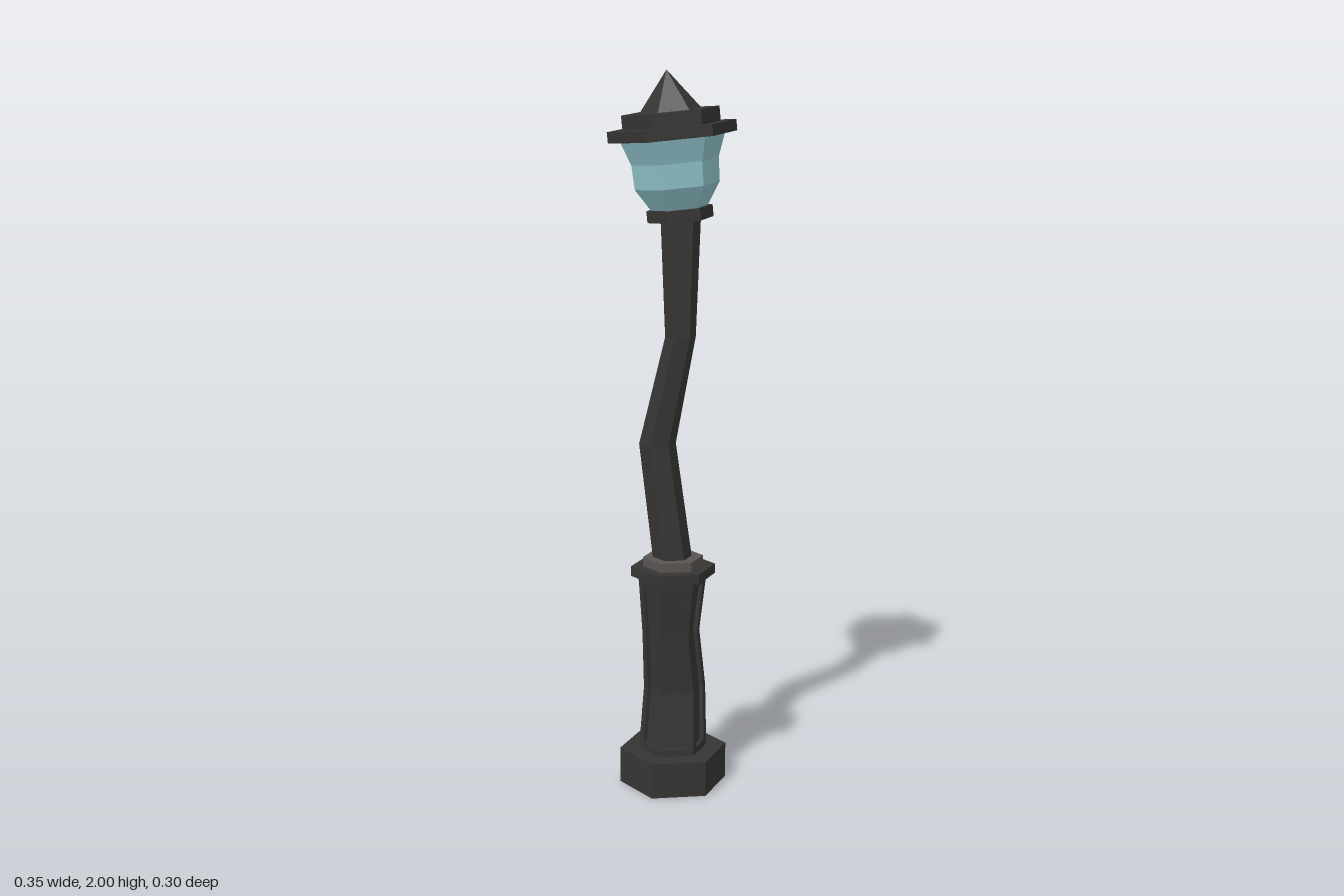
import * as THREE from 'three';

const iron = new THREE.MeshStandardMaterial({ color: 0x363534, flatShading: true });
iron.name = 'dark iron';
const ringMetal = new THREE.MeshStandardMaterial({ color: 0x5a5553, flatShading: true });
ringMetal.name = 'worn ring metal';
const glassMat = new THREE.MeshStandardMaterial({ color: 0x8fc3cb, flatShading: true });
glassMat.name = 'pale blue glass';

function part(name, geometry, material) {
  const geo = geometry.index ? geometry.toNonIndexed() : geometry;
  geo.computeVertexNormals();
  const mesh = new THREE.Mesh(geo, material);
  mesh.name = name;
  return mesh;
}

// Six-sided solid turned from [radius, height] pairs, bottom to top, corners on the x axis
function hexSolid(name, profile, material) {
  const points = profile.map(([r, y]) => new THREE.Vector2(r, y));
  return part(name, new THREE.LatheGeometry(points, 6, Math.PI / 6), material);
}

const hexBlock = (name, r, y0, y1, material) =>
  hexSolid(name, [[0, y0], [r, y0], [r, y1], [0, y1]], material);

// Hexagon cross-section; each side carries a panel sunk by the given depth
function hexRing(cx, y, cz, r, depth) {
  const ring = [];
  const corner = (k) => new THREE.Vector3(
    cx + r * Math.cos(k * Math.PI / 3), y, cz - r * Math.sin(k * Math.PI / 3));
  for (let k = 0; k < 6; k++) {
    const a = corner(k), b = corner(k + 1);
    const mid = (k + 0.5) * Math.PI / 3;
    const inward = new THREE.Vector3(-Math.cos(mid), 0, Math.sin(mid)).multiplyScalar(depth);
    ring.push(a);
    if (depth === null) continue;
    const p = a.clone().lerp(b, 0.2), q = a.clone().lerp(b, 0.8);
    ring.push(p, p.clone().add(inward), q.clone().add(inward), q);
  }
  return ring;
}

// Skin joining successive cross-sections
function loft(rings) {
  const n = rings[0].length, positions = [], index = [];
  rings.forEach((ring) => ring.forEach((p) => positions.push(p.x, p.y, p.z)));
  for (let i = 0; i < rings.length - 1; i++) {
    for (let j = 0; j < n; j++) {
      const a = i * n + j, b = i * n + (j + 1) % n;
      index.push(a, b, b + n, a, b + n, a + n);
    }
  }
  const geo = new THREE.BufferGeometry();
  geo.setAttribute('position', new THREE.Float32BufferAttribute(positions, 3));
  geo.setIndex(index);
  return geo;
}

export function createModel() {
  const lamp = new THREE.Group();
  lamp.name = 'streetLamp';

  // Foot and crooked pedestal with sunken panels
  lamp.add(hexBlock('foot', 0.152, 0, 0.102, iron));
  const sink = 0.012;
  const pedestal = [
    [0, 0.1, 0, 0.097, 0],
    [0, 0.122, 0, 0.096, 0],
    [0, 0.122, 0, 0.096, sink],
    [0.006, 0.28, -0.011, 0.088, sink],
    [-0.006, 0.45, 0, 0.081, sink],
    [-0.002, 0.59, 0, 0.094, sink],
    [-0.002, 0.59, 0, 0.094, 0],
    [-0.002, 0.616, 0, 0.096, 0],
  ];
  lamp.add(part('pedestal', loft(pedestal.map((s) => hexRing(...s))), iron));
  lamp.add(hexBlock('pedestalCap', 0.119, 0.614, 0.641, iron));
  lamp.add(hexBlock('poleRing', 0.085, 0.641, 0.667, ringMetal));

  // Bent pole
  const pole = [
    [0, 0.65, 0, 0.055],
    [-0.042, 0.99, -0.01, 0.051],
    [0.019, 1.29, 0.012, 0.042],
    [0.021, 1.62, 0, 0.055],
  ];
  lamp.add(part('pole', loft(pole.map((s) => hexRing(...s, null))), iron));

  // Leaning lantern head
  const head = new THREE.Group();
  head.name = 'lantern';
  head.position.set(0.019, 1.622, 0);
  head.rotation.z = 0.096;
  head.add(hexBlock('lanternCollar', 0.09, -0.016, 0.016, iron));
  head.add(hexSolid('glass',
    [[0.076, 0.014], [0.115, 0.075], [0.118, 0.14], [0.142, 0.206]], glassMat));
  head.add(hexBlock('roofBrim', 0.174, 0.204, 0.234, iron));
  head.add(hexBlock('roofTier', 0.132, 0.232, 0.273, iron));
  head.add(hexSolid('roofPeak', [[0.084, 0.272], [0, 0.38]], iron));
  lamp.add(head);

  return lamp;
}
